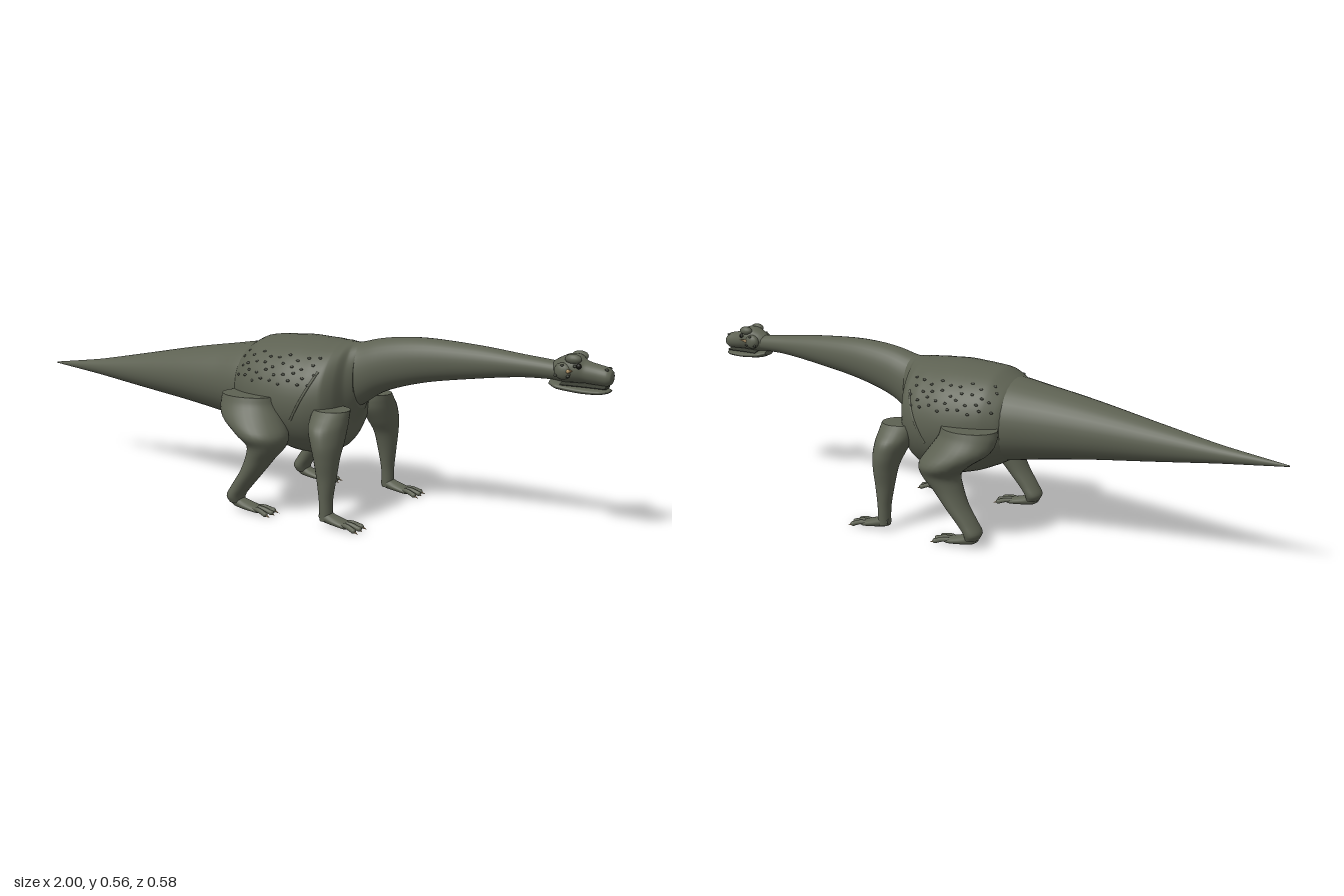
import * as THREE from 'three';

const mat = (name, color) => new THREE.MeshStandardMaterial({ name, color });

export function createModel() {
  const hide = mat('olive hide', 0x5d6152);
  const dark = mat('dark scales', 0x3a3d33);
  const claw = mat('tan claw', 0xb89a6c);
  const black = mat('black eye', 0x14140f);
  const model = new THREE.Group();
  model.name = 'longNeckedReptile';

  const add = (name, geo, m, parent = model) => {
    const mesh = new THREE.Mesh(geo, m);
    mesh.name = name;
    parent.add(mesh);
    return mesh;
  };

  // Smooth skin over oval rings: each ring is a centre and two radii.
  // 'x' rings run toward +x, 'y' rings run downward.
  function loft(axis, centres, radii, steps, sides = 32) {
    const c = new THREE.CatmullRomCurve3(centres), r = new THREE.CatmullRomCurve3(radii);
    const pos = [], idx = [], p = new THREE.Vector3(), q = new THREE.Vector3();
    const ring = (t) => {
      c.getPoint(t, p); r.getPoint(t, q);
      for (let j = 0; j < sides; j++) {
        const a = (j / sides) * Math.PI * 2, u = Math.cos(a) * Math.max(q.x, 0), v = Math.sin(a) * Math.max(q.y, 0);
        if (axis === 'x') pos.push(p.x, p.y + u, p.z + v);
        else pos.push(p.x + u, p.y, p.z + v);
      }
    };
    for (let i = 0; i <= steps; i++) ring(i / steps);
    for (let i = 0; i < steps; i++) for (let j = 0; j < sides; j++) {
      const a = i * sides + j, b = i * sides + (j + 1) % sides;
      idx.push(a, b, a + sides, b, b + sides, a + sides);
    }
    // flat end caps with their own corners
    for (const end of [0, 1]) {
      const k = pos.length / 3;
      ring(end);
      pos.push(p.x, p.y, p.z);
      for (let j = 0; j < sides; j++) {
        const a = k + j, b = k + (j + 1) % sides;
        if (end) idx.push(a, b, k + sides); else idx.push(b, a, k + sides);
      }
    }
    const g = new THREE.BufferGeometry();
    g.setAttribute('position', new THREE.Float32BufferAttribute(pos, 3));
    g.setIndex(idx);
    g.computeVertexNormals();
    return g;
  }
  // rows: x, top, bottom, half width
  const loftX = (rows, z = 0, steps = 40, sides = 32) => loft('x',
    rows.map(([x, t, b]) => new THREE.Vector3(x, (t + b) / 2, z)),
    rows.map(([, t, b, w]) => new THREE.Vector3((t - b) / 2, w, 0)), steps, sides);
  // rows: y, back x, front x, inner z, outer z
  const loftY = (rows, s) => loft('y',
    rows.map(([y, a, b, i, o]) => new THREE.Vector3((a + b) / 2, y, s * (i + o) / 2)),
    rows.map(([, a, b, i, o]) => new THREE.Vector3((b - a) / 2, (o - i) / 2, 0)), 40, 28);

  const ball = (name, m, x, y, z, rx, ry, rz, parent) => {
    const b = add(name, new THREE.SphereGeometry(1, 16, 10), m, parent);
    b.position.set(x, y, z);
    b.scale.set(rx, ry, rz);
    return b;
  };
  const spike = (name, from, to, r, parent) => {
    const d = to.clone().sub(from);
    const c = add(name, new THREE.ConeGeometry(r, d.length(), 8), claw, parent);
    c.position.copy(from).addScaledVector(d, 0.5);
    c.quaternion.setFromUnitVectors(new THREE.Vector3(0, 1, 0), d.normalize());
  };

  // tail, torso and neck
  const tail = [
    [-1, 0.352, 0.348, 0.002], [-0.8, 0.381, 0.327, 0.026], [-0.6, 0.42, 0.302, 0.056],
    [-0.4, 0.46, 0.278, 0.09], [-0.25, 0.485, 0.256, 0.115], [-0.12, 0.502, 0.235, 0.138], [-0.05, 0.49, 0.23, 0.13]];
  const torso = [
    [-0.17, 0.485, 0.26, 0.115], [-0.145, 0.502, 0.243, 0.142], [-0.1, 0.526, 0.218, 0.168],
    [-0.03, 0.534, 0.188, 0.187], [0.05, 0.538, 0.17, 0.194], [0.12, 0.535, 0.173, 0.189],
    [0.17, 0.532, 0.195, 0.17], [0.195, 0.53, 0.23, 0.135], [0.21, 0.529, 0.28, 0.092], [0.23, 0.53, 0.325, 0.069]];
  const neck = [
    [0.19, 0.525, 0.31, 0.075], [0.23, 0.532, 0.335, 0.067], [0.3, 0.549, 0.382, 0.061], [0.42, 0.561, 0.422, 0.054],
    [0.6, 0.554, 0.455, 0.042], [0.75, 0.539, 0.475, 0.032], [0.87, 0.528, 0.478, 0.027]];
  add('tail', loftX(tail), hide);
  add('torso', loftX(torso, 0, 60, 48), hide);
  add('neck', loftX(neck), hide);

  // head
  const head = new THREE.Group();
  head.name = 'head';
  model.add(head);
  add('skull', loftX([
    [0.83, 0.53, 0.478, 0.022], [0.85, 0.543, 0.475, 0.034], [0.88, 0.556, 0.474, 0.042], [0.905, 0.556, 0.475, 0.041],
    [0.925, 0.54, 0.476, 0.034], [0.96, 0.531, 0.474, 0.029], [0.985, 0.526, 0.473, 0.028], [0.997, 0.516, 0.48, 0.022], [1, 0.505, 0.49, 0.01]]), hide, head);
  add('lowerJaw', loftX([
    [0.825, 0.478, 0.462, 0.022], [0.85, 0.476, 0.453, 0.038], [0.92, 0.469, 0.447, 0.039],
    [0.97, 0.467, 0.449, 0.036], [0.99, 0.465, 0.454, 0.022], [0.996, 0.462, 0.458, 0.01]]), hide, head);
  add('mouthLine', loftX([
    [0.86, 0.476, 0.466, 0.034], [0.93, 0.475, 0.466, 0.031], [0.985, 0.474, 0.464, 0.025]], 0, 12), dark, head);
  for (const s of [1, -1]) {
    ball('brow', hide, 0.895, 0.546, s * 0.031, 0.024, 0.014, 0.015, head);
    ball('cheek', hide, 0.868, 0.51, s * 0.034, 0.026, 0.024, 0.016, head);
    ball('eye', black, 0.912, 0.527, s * 0.035, 0.008, 0.008, 0.007, head);
    ball('nostril', dark, 0.985, 0.521, s * 0.016, 0.006, 0.004, 0.004, head);
    for (let i = 0; i < 4; i++) ball('cheekScale', dark, 0.85 + i * 0.018, 0.498 + (i % 2) * 0.03, s * 0.044, 0.005, 0.004, 0.005, head);
    spike('cheekSpike', new THREE.Vector3(0.885, 0.512, s * 0.045), new THREE.Vector3(0.905, 0.518, s * 0.058), 0.006, head);
  }

  // foot with three clawed toes
  function foot(name, x, z, length, parent) {
    const g = new THREE.Group();
    g.name = name;
    parent.add(g);
    add('footPad', loftX([
      [x - 0.02, 0.044, 0.022, 0.012], [x, 0.05, 0.012, 0.022], [x + 0.03, 0.038, 0.008, 0.025],
      [x + length * 0.55, 0.025, 0.004, 0.026], [x + length * 0.68, 0.016, 0.006, 0.018]], z, 24, 20), hide, g);
    for (const k of [-1, 0, 1]) {
      const tip = x + length * (k ? 0.85 : 0.9), tz = z + k * 0.025;
      const a = new THREE.Vector3(x + length * 0.45, 0.018, z + k * 0.014), b = new THREE.Vector3(tip, 0.01, tz);
      const curve = new THREE.CatmullRomCurve3([a, a.clone().lerp(b, 0.5).add(new THREE.Vector3(0, 0.004, 0)), b]);
      add('toe', new THREE.TubeGeometry(curve, 8, 0.0075, 10), hide, g);
      ball('toeTip', hide, tip, 0.01, tz, 0.009, 0.008, 0.008, g);
      spike('claw', b, new THREE.Vector3(x + length, 0.002, tz + k * 0.003), 0.005, g);
    }
  }

  const frontLeg = [
    [0.345, 0.143, 0.256, 0.087, 0.193], [0.325, 0.142, 0.256, 0.086, 0.215], [0.295, 0.147, 0.256, 0.092, 0.243],
    [0.25, 0.165, 0.256, 0.12, 0.253], [0.21, 0.178, 0.252, 0.148, 0.249], [0.15, 0.188, 0.246, 0.168, 0.238],
    [0.08, 0.198, 0.238, 0.182, 0.233], [0.02, 0.2, 0.238, 0.186, 0.23]];
  const backLeg = [
    [0.37, -0.163, 0.02, 0.105, 0.238], [0.345, -0.165, 0.025, 0.108, 0.247], [0.305, -0.15, 0.05, 0.115, 0.27],
    [0.26, -0.09, 0.075, 0.125, 0.288], [0.225, -0.053, 0.069, 0.138, 0.27], [0.18, -0.06, 0.03, 0.15, 0.257],
    [0.13, -0.082, -0.01, 0.162, 0.25], [0.08, -0.115, -0.052, 0.168, 0.244], [0.05, -0.131, -0.075, 0.168, 0.243], [0.03, -0.122, -0.08, 0.178, 0.234]];
  // torso surface point at x and y, for skin details
  const flank = (x, y, s) => {
    let i = 0;
    while (i < torso.length - 2 && torso[i + 1][0] < x) i++;
    const f = (x - torso[i][0]) / (torso[i + 1][0] - torso[i][0]);
    const [, t, b, w] = torso[i].map((v, k) => v + f * (torso[i + 1][k] - v));
    const u = (y - (t + b) / 2) / ((t - b) / 2);
    return new THREE.Vector3(x, y, s * w * Math.sqrt(Math.max(0, 1 - u * u)));
  };

  for (const [side, s] of [['left', -1], ['right', 1]]) {
    const legs = new THREE.Group();
    legs.name = side === 'left' ? 'farLegs' : 'nearLegs';
    model.add(legs);
    add('frontLeg', loftY(frontLeg, s), hide, legs);
    foot('frontFoot', 0.22, s * 0.208, 0.122, legs);
    add('backLeg', loftY(backLeg, s), hide, legs);
    foot('backFoot', -0.098, s * 0.206, 0.135, legs);

    // scattered flank scales
    for (let row = 0; row < 4; row++) for (let i = 0; i < 9; i++) {
      const x = -0.13 + i * 0.033 + (row % 2) * 0.012, y = 0.418 + row * 0.023 + Math.sin(i * 2.3 + row) * 0.007;
      const p = flank(x, y, s);
      ball('flankScale', dark, p.x, p.y, p.z, 0.006, 0.004, 0.004, model);
    }
    // skin fold behind the shoulder
    const fold = [[0.155, 0.455], [0.135, 0.41], [0.11, 0.36], [0.08, 0.305]].map(([x, y]) => flank(x, y, s));
    add('shoulderFold', new THREE.TubeGeometry(new THREE.CatmullRomCurve3(fold), 20, 0.004, 8), hide);
  }
  return model;
}
